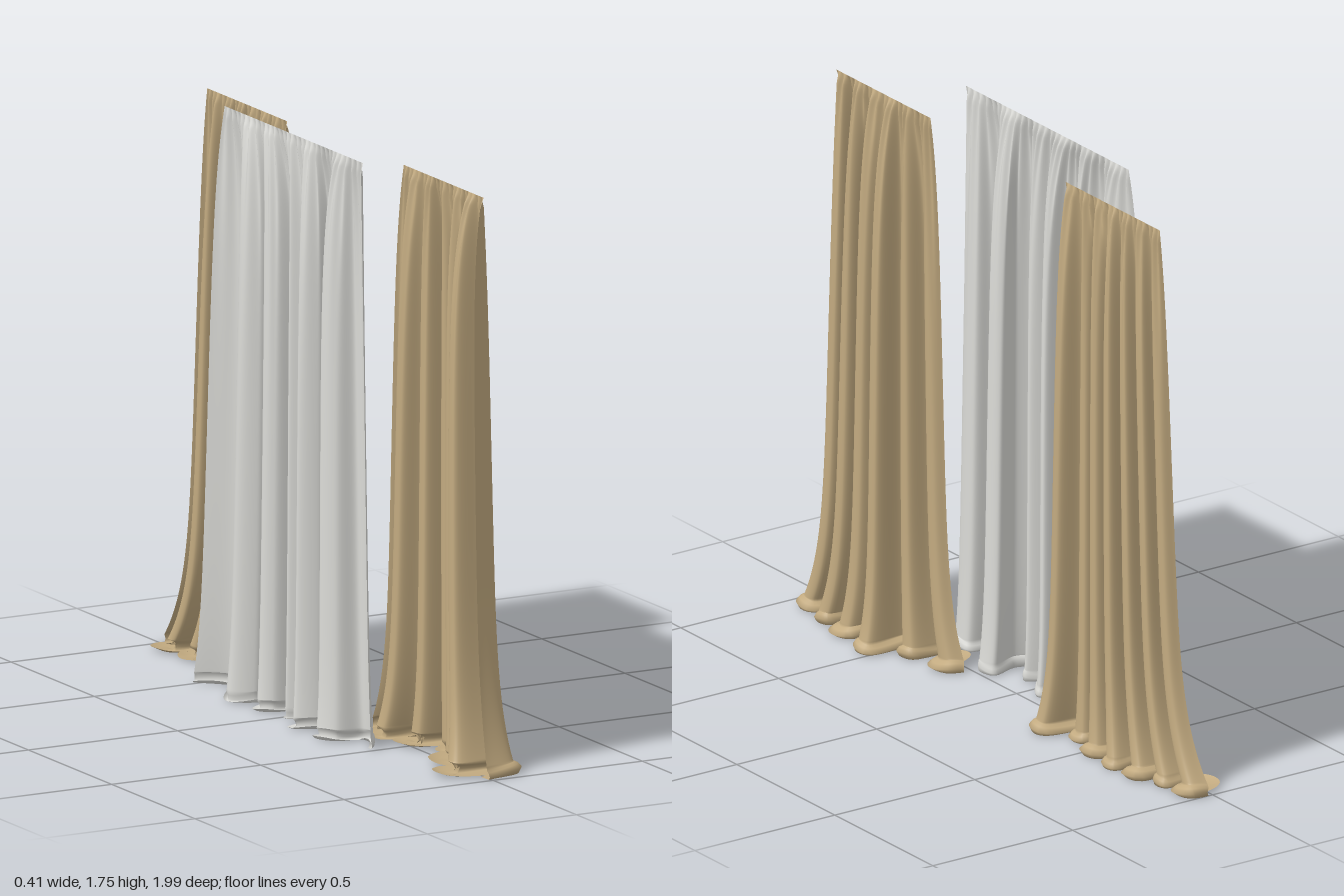
import * as THREE from 'three';

const linen = new THREE.MeshStandardMaterial({ color: 0xc2aa80, side: THREE.DoubleSide });
linen.name = 'tan linen';
const voile = new THREE.MeshStandardMaterial({ color: 0xdbdbd7, side: THREE.DoubleSide });
voile.name = 'pale voile';

const { lerp, clamp } = THREE.MathUtils;
const COLS = 260, ROWS = 48;

// Rolled hem lying on the floor: [sideways offset, height]
const HEM = [[0.012, 0.024], [0.022, 0.012], [0.014, 0], [-0.02, 0.002], [-0.04, 0.008]];

// Broadens the crest of every fold into a rounded pipe with narrow tucks between
const pipes = (folds, half) => folds.flatMap(([x, z], i) =>
  i === 0 || i === folds.length - 1 ? [[x, z]] : [[x, z - half], [x, z + half]]);

// Hanging cloth: a straight gathered heading opens into the folds of a floor path.
// floor: [x, z] points of the fold line on the ground, in order of z
// fullness: share of the floor folds' depth reached while hanging
// flare: share of the widening that happens close to the floor
function drape(name, material, { top, topX, topZ, floor, fullness, flare, pleats, hem }) {
  const path = new THREE.CatmullRomCurve3(floor.map(([x, z]) => new THREE.Vector3(x, 0, z)));
  const z0 = floor[0][1], z1 = floor[floor.length - 1][1];
  const position = [], index = [];

  const addRow = (t, y, offset) => {
    const depth = fullness * (0.74 * (1 - Math.exp(-9 * t)) + 0.26 * t) + (1 - fullness) * t ** 14;
    const spread = (1 - flare) * t + flare * t ** 10;
    const gather = 0.008 * Math.exp(-6 * t) * Math.min(1, t / 0.02);
    for (let i = 0; i <= COLS; i++) {
      const u = i / COLS;
      const p = path.getPoint(u), d = path.getTangent(u);
      const floorZ = lerp(z0, z1, u);
      const wave = Math.sin(u * pleats * Math.PI * 2 + Math.sin(u * 17));
      const roll = offset * (1 + 0.5 * Math.sin(u * 23));
      const x = lerp(topX, p.x, depth) + gather * wave + roll * d.z;
      const z = lerp(lerp(topZ[0], topZ[1], u), floorZ, spread)
        + (p.z - floorZ) * depth - roll * d.x;
      // the hem rises and falls a little where the cloth buckles
      const buckle = y > 0.005 && t === 1 ? 0.005 * Math.sin(u * 61) : 0;
      position.push(x, y + buckle, clamp(z, -1, 1));
    }
  };

  // rows are closer together at the heading and near the floor
  for (let r = 0; r <= ROWS; r++) {
    const s = r / ROWS;
    const t = s - 0.14 * Math.sin(2 * Math.PI * s);
    addRow(t, lerp(top, 0.03, t), 0);
  }
  for (const [offset, y] of HEM) addRow(1, y, offset * hem);

  const w = COLS + 1;
  for (let r = 0; r < ROWS + HEM.length; r++) {
    for (let i = 0; i < COLS; i++) {
      const a = r * w + i, b = a + w;
      index.push(a, b, a + 1, b, b + 1, a + 1);
    }
  }
  const geometry = new THREE.BufferGeometry();
  geometry.setAttribute('position', new THREE.Float32BufferAttribute(position, 3));
  geometry.setIndex(index);
  geometry.computeVertexNormals();
  const mesh = new THREE.Mesh(geometry, material);
  mesh.name = name;
  return mesh;
}

export function createModel() {
  const group = new THREE.Group();
  group.name = 'curtains';

  group.add(drape('frontCurtain', linen, {
    top: 1.71, topX: 0.063, topZ: [0.35, 0.83], fullness: 0.74, flare: 0.55, pleats: 19, hem: 1,
    floor: pipes([[0.02, 0.24], [0.06, 0.29], [-0.02, 0.36], [0.09, 0.43], [0.03, 0.48],
      [0.17, 0.54], [0.06, 0.61], [0.14, 0.68], [0, 0.74], [0.13, 0.8],
      [-0.06, 0.86], [0.1, 0.92], [-0.01, 0.98]], 0.024),
  }));

  group.add(drape('backCurtain', linen, {
    top: 1.71, topX: 0.035, topZ: [-0.78, -0.3], fullness: 0.7, flare: 0.55, pleats: 19, hem: 1,
    floor: pipes([[0.01, -0.99], [0.06, -0.95], [-0.02, -0.9], [0.08, -0.85], [0, -0.8],
      [0.1, -0.75], [0, -0.7], [0.12, -0.65], [-0.01, -0.59], [0.1, -0.53],
      [-0.05, -0.48], [0.07, -0.42], [0, -0.36], [0.12, -0.29], [0.04, -0.23]], 0.021),
  }));

  group.add(drape('sheerCurtain', voile, {
    top: 1.75, topX: -0.113, topZ: [-0.41, 0.42], fullness: 0.86, flare: 0.25, pleats: 30, hem: 0.3,
    floor: [[-0.16, -0.51], [-0.08, -0.43], [-0.05, -0.36], [-0.13, -0.33], [-0.19, -0.25],
      [-0.13, -0.2], [-0.07, -0.2], [-0.17, -0.11], [-0.14, -0.07], [-0.04, -0.06],
      [-0.08, 0], [-0.15, 0.02], [-0.08, 0.07], [-0.11, 0.1], [-0.19, 0.14],
      [-0.12, 0.18], [-0.03, 0.16], [-0.02, 0.22], [-0.1, 0.25], [-0.19, 0.28],
      [-0.16, 0.34], [-0.08, 0.36], [-0.08, 0.42], [-0.12, 0.48]],
  }));

  return group;
}
